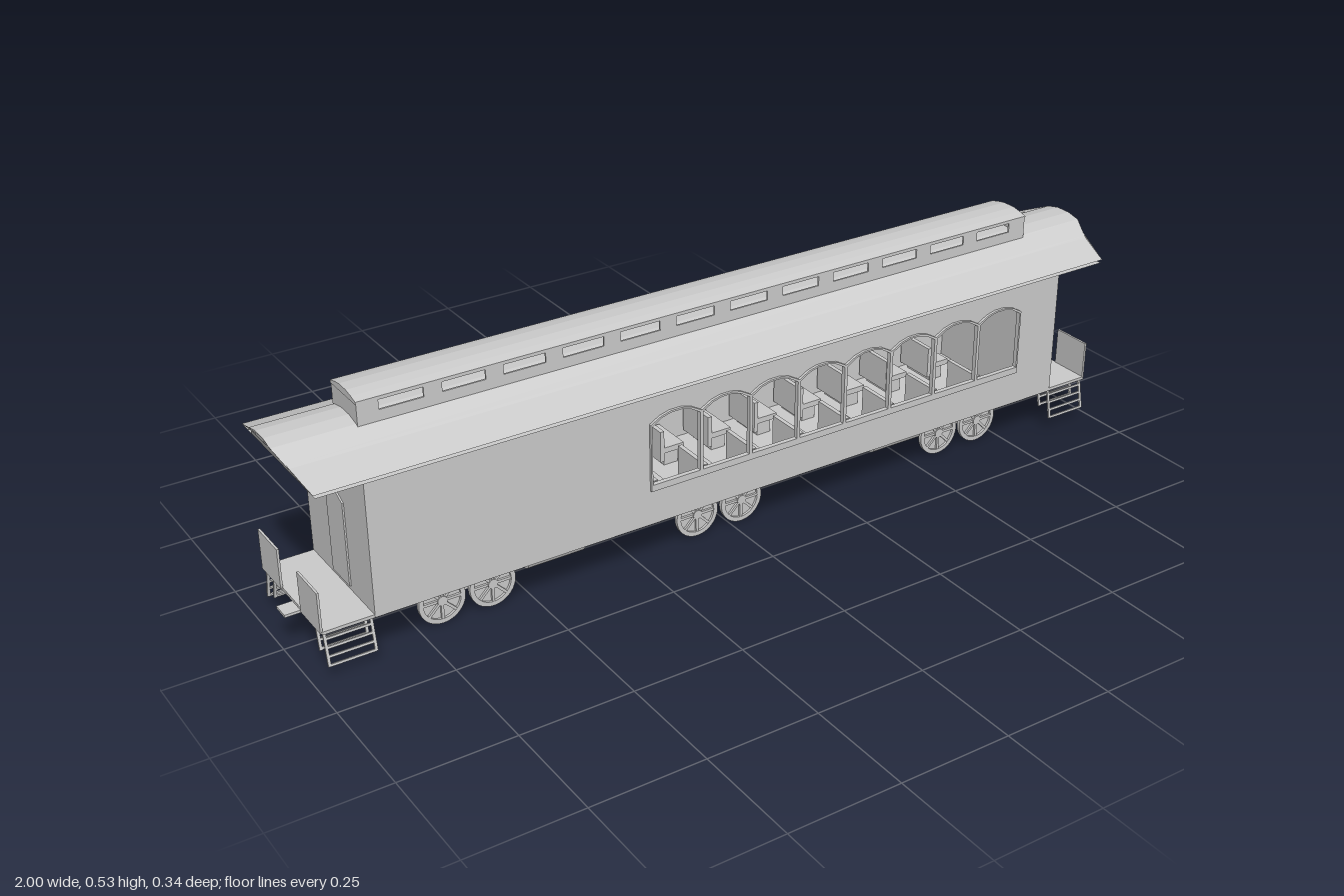
import * as THREE from 'three';

const mat = new THREE.MeshStandardMaterial({ color: 0xcccccc, side: THREE.DoubleSide });

export function createModel() {
  const root = new THREE.Group();
  const add = (name, geo, x = 0, y = 0, z = 0, parent = root) => {
    const m = new THREE.Mesh(geo, mat);
    m.name = name;
    m.position.set(x, y, z);
    parent.add(m);
    return m;
  };
  // Box given by its limits on each axis
  const box = (name, x0, x1, y0, y1, z0, z1, parent = root) =>
    add(name, new THREE.BoxGeometry(x1 - x0, y1 - y0, z1 - z0),
      (x0 + x1) / 2, (y0 + y1) / 2, (z0 + z1) / 2, parent);
  const poly = pts => new THREE.Shape(pts.map(p => new THREE.Vector2(...p)));
  const rect = (x0, x1, y0, y1) => [[x0, y0], [x1, y0], [x1, y1], [x0, y1]];
  const extrude = (shape, depth) =>
    new THREE.ExtrudeGeometry(shape, { depth, bevelEnabled: false, curveSegments: 24 });
  // Cross-section (z, y) swept along x, centred on x = 0
  const sweep = (pts, length) => extrude(poly(pts), length).translate(0, 0, -length / 2).rotateY(Math.PI / 2);
  const mirrored = half => [...half, ...half.map(([z, y]) => [-z, y]).reverse()];

  // Side walls with a row of arched windows
  const pitch = 0.1235, firstX = -0.176, half = 0.058;
  const windowCentres = Array.from({ length: 8 }, (_, i) => firstX + i * pitch);
  const arch = (cx, w, y0, lift) => [
    [cx - w, y0], [cx + w, y0], [cx + w, 0.336 + lift], [cx + w * 0.6, 0.35 + lift], [cx + w * 0.22, 0.356 + lift],
    [cx - w * 0.22, 0.356 + lift], [cx - w * 0.6, 0.35 + lift], [cx - w, 0.336 + lift]];
  const wall = poly(rect(-0.863, 0.863, 0.105, 0.416));
  windowCentres.forEach(cx => wall.holes.push(poly(arch(cx, half, 0.2, 0))));
  for (const s of [1, -1]) {
    add('sideWall', extrude(wall, 0.005), 0, 0, s > 0 ? 0.14 : -0.145);
    for (const cx of windowCentres) {
      const frame = poly(arch(cx, pitch / 2, 0.185, 0.004));
      frame.holes.push(poly(arch(cx, half, 0.2, 0)));
      add('windowFrame', extrude(frame, 0.009), 0, 0, s > 0 ? 0.142 : -0.151);
    }
  }

  // Floor, running out under both end platforms
  box('floor', -0.972, 0.972, 0.103, 0.11, -0.143, 0.143);

  // Gabled end walls and inner bulkheads
  const gable = mirrored([[0.143, 0.105], [0.143, 0.413], [0.13, 0.414], [0.09, 0.44], [0.05, 0.466], [0.018, 0.473]]);
  for (const x of [-0.86, 0.86]) add('endWall', sweep(gable, 0.006), x);
  for (const x of [-0.255, 0.775]) add('bulkhead', sweep(gable, 0.006), x);

  // Main roof: thin shell whose ends rake outward with height
  const top = [[0.168, 0.42], [0.134, 0.421], [0.09, 0.449], [0.05, 0.473], [0.018, 0.48]];
  const bottom = [[0.018, 0.473], [0.05, 0.466], [0.09, 0.441], [0.13, 0.414], [0.168, 0.413]];
  const roofGeo = sweep([...mirrored(top), ...mirrored(bottom).map(([z, y]) => [-z, y])], 2);
  const rp = roofGeo.attributes.position;
  for (let i = 0; i < rp.count; i++) {
    const rise = Math.min(1, Math.max(0, (rp.getY(i) - 0.413) / 0.06));
    rp.setX(i, Math.sign(rp.getX(i)) * (0.968 + 0.032 * rise));
  }
  roofGeo.computeVertexNormals();
  add('roof', roofGeo);

  // Raised roof with a strip of small windows
  const strip = poly(rect(-0.826, 0.826, 0.462, 0.52));
  for (let i = 0; i < 12; i++) {
    const x = (i - 5.5) * 0.1335;
    strip.holes.push(poly(rect(x - 0.047, x + 0.047, 0.493, 0.514)));
  }
  for (const z of [0.052, -0.056]) add('clerestorySide', extrude(strip, 0.004), 0, 0, z);
  add('clerestoryRoof', sweep([...mirrored([[0.057, 0.522], [0.038, 0.527], [0.016, 0.531]]),
    [-0.057, 0.516], [0.057, 0.516]], 1.656));
  for (const x of [-0.824, 0.824]) box('clerestoryEnd', x - 0.003, x + 0.003, 0.462, 0.52, -0.056, 0.056);

  // Seats either side of the aisle
  for (let i = 0; i < 8; i++) {
    const x = firstX - pitch / 2 + i * pitch + 0.02;
    for (const s of [1, -1]) {
      const seat = new THREE.Group();
      seat.name = 'seat';
      root.add(seat);
      const z0 = s > 0 ? 0.035 : -0.135, z1 = z0 + 0.1;
      box('seatBack', x - 0.005, x + 0.005, 0.125, 0.199, z0, z1, seat);
      box('seatCushion', x, x + 0.055, 0.145, 0.158, z0, z1, seat);
      box('seatBase', x + 0.01, x + 0.045, 0.11, 0.145, z0 + 0.01, z1 - 0.01, seat);
    }
  }

  // Under-frame: centre sill with sloping ends
  box('upperSill', -0.823, 0.823, 0.07, 0.104, -0.052, 0.052);
  add('lowerSill', extrude(poly([[-0.775, 0.038], [0.775, 0.038], [0.823, 0.072], [-0.823, 0.072]]), 0.076), 0, 0, -0.038);

  // Wheel: disc with raised rim, spokes and hub, outside facing +z
  const rim = new THREE.Shape().absarc(0, 0, 0.052, 0, Math.PI * 2, false);
  rim.holes.push(new THREE.Path().absarc(0, 0, 0.042, 0, Math.PI * 2, true));
  const rimGeo = extrude(rim, 0.009);
  const discGeo = new THREE.CylinderGeometry(0.05, 0.05, 0.003, 24).rotateX(Math.PI / 2);
  const hubGeo = new THREE.CylinderGeometry(0.011, 0.011, 0.011, 12).rotateX(Math.PI / 2);
  const spokeGeo = new THREE.BoxGeometry(0.036, 0.006, 0.005).translate(0.026, 0, 0.005);
  const axleGeo = new THREE.CylinderGeometry(0.011, 0.011, 0.164, 12).rotateX(Math.PI / 2);
  const wheelSet = x => {
    const set = new THREE.Group();
    set.name = 'wheelSet';
    set.position.set(x, 0.052, 0);
    root.add(set);
    add('axle', axleGeo, 0, 0, 0, set);
    for (const s of [0, 1]) {
      const wheel = new THREE.Group();
      wheel.name = 'wheel';
      wheel.rotation.y = s * Math.PI;
      set.add(wheel);
      add('rim', rimGeo, 0, 0, 0.081, wheel);
      add('disc', discGeo, 0, 0, 0.083, wheel);
      add('hub', hubGeo, 0, 0, 0.086, wheel);
      for (let k = 0; k < 8; k++) add('spoke', spokeGeo, 0, 0, 0.082, wheel).rotation.z = k * Math.PI / 4;
    }
  };

  // Three trucks
  for (const [x, frame] of [[-0.638, 1], [-0.029, 0], [0.636, 1]]) {
    wheelSet(x - 0.057);
    wheelSet(x + 0.057);
    for (const s of [1, -1]) {
      const z0 = s > 0 ? 0.05 : -0.075;
      if (frame) box('truckFrame', x - 0.072, x + 0.072, 0.05, 0.104, z0, z0 + 0.025);
      for (const d of [-0.057, 0.057]) box('axleBox', x + d - 0.015, x + d + 0.015, 0.038, 0.068, z0, z0 + 0.025);
    }
  }

  // Tanks slung under the floor
  const tankGeo = new THREE.CylinderGeometry(0.018, 0.018, 0.132, 16).rotateZ(Math.PI / 2);
  for (const x of [-0.443, 0.44]) for (const z of [-0.094, 0.094]) add('tank', tankGeo, x, 0.085, z);

  // Platform ends: door, railings, coupler plate and steps
  for (const s of [1, -1]) {
    const end = new THREE.Group();
    end.name = 'platformEnd';
    end.rotation.y = s > 0 ? 0 : Math.PI;
    root.add(end);
    const door = sweep([[-0.039, 0.12], [0.039, 0.12], [0.039, 0.307], [0, 0.325], [-0.039, 0.307]], 0.005);
    add('door', door, 0.864, 0, 0, end);
    box('couplerPlate', 0.82, 0.998, 0.084, 0.09, -0.02, 0.02, end);
    for (const t of [1, -1]) {
      const z0 = t > 0 ? 0.048 : -0.141;
      box('railing', 0.97, 0.975, 0.105, 0.196, z0, z0 + 0.093, end);
      // Leaning ladders: a full outer one and a shorter inner one
      for (const [z, length, rungs] of [[0.134, 0.075, 4], [0.1, 0.058, 3]]) {
        const steps = new THREE.Group();
        steps.name = 'steps';
        steps.position.set(0.917, 0.106, t * z);
        steps.rotation.x = -t * 0.2;
        end.add(steps);
        for (const x of [-0.049, 0.049]) box('stepRail', x - 0.003, x + 0.003, -length, 0, -0.002, 0.002, steps);
        for (let k = 0; k < rungs; k++) {
          const y = -0.018 - k * 0.0185;
          box('stepRung', -0.049, 0.049, y - 0.002, y + 0.003, -0.002, 0.002, steps);
        }
      }
    }
  }
  return root;
}
